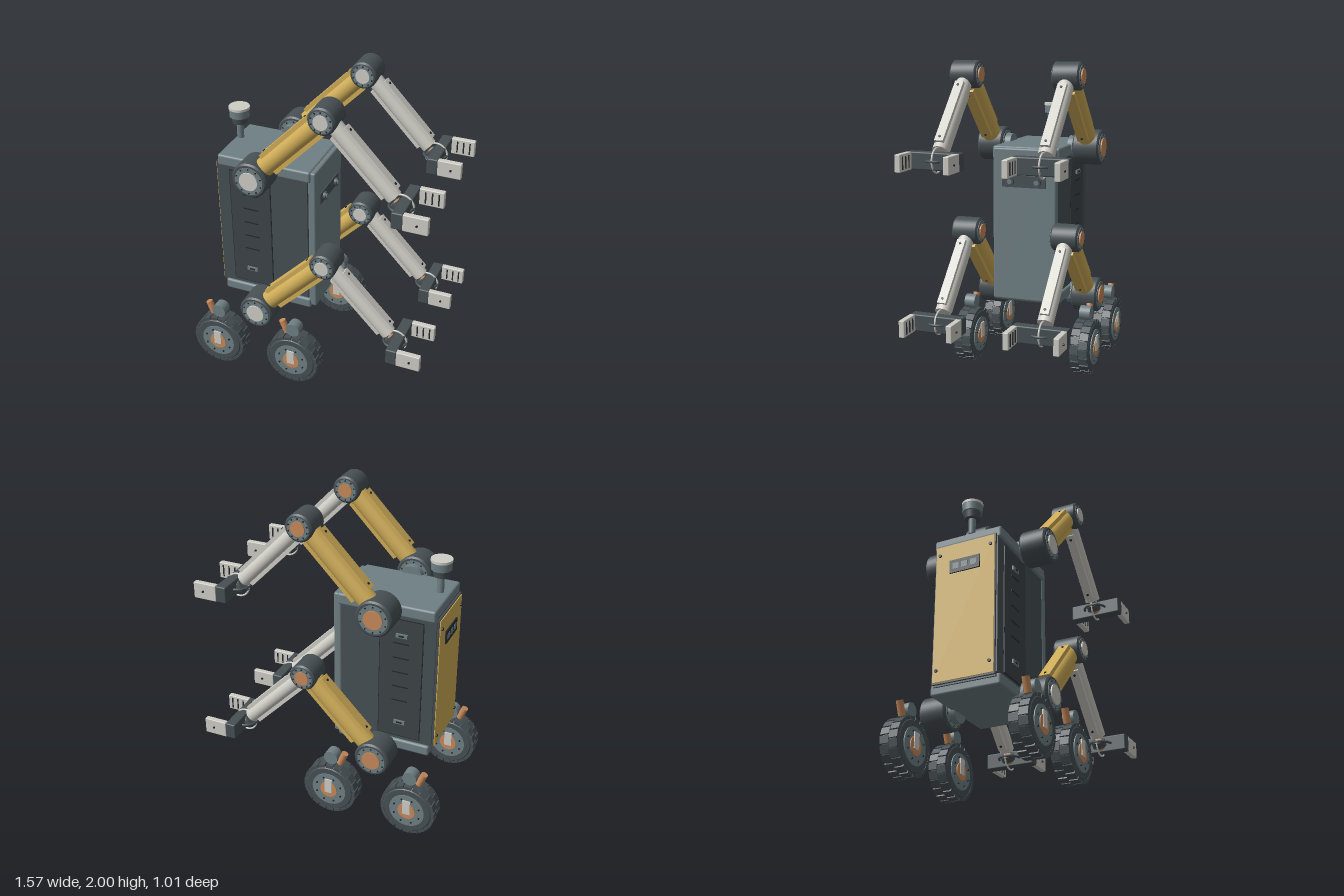
import * as THREE from 'three';
import { toCreasedNormals } from 'three/addons/utils/BufferGeometryUtils.js';
import { RoundedBoxGeometry } from 'three/addons/geometries/RoundedBoxGeometry.js';

const paint = (name, color) => {
  const m = new THREE.MeshStandardMaterial({ color });
  m.name = name;
  return m;
};
const slate = paint('slate', 0x6f7f84);
const dark = paint('charcoal', 0x475054);
const panel = paint('deepCharcoal', 0x3d4448);
const black = paint('black', 0x25292c);
const yellow = paint('ochre', 0xd0ad58);
const light = paint('offWhite', 0xcfcec6);
const copper = paint('copper', 0xc78a5a);

// Adds a named mesh to a parent
function add(parent, name, geo, mat, x = 0, y = 0, z = 0) {
  const mesh = new THREE.Mesh(geo, mat);
  mesh.name = name;
  mesh.position.set(x, y, z);
  parent.add(mesh);
  return mesh;
}
function group(parent, name, x = 0, y = 0, z = 0) {
  const g = new THREE.Group();
  g.name = name;
  g.position.set(x, y, z);
  parent.add(g);
  return g;
}
const box = (w, h, d) => new THREE.BoxGeometry(w, h, d);
const rbox = (w, h, d, r = 0.01) => new RoundedBoxGeometry(w, h, d, 2, r);
const cyl = (r, h, n = 32, r2 = r) => new THREE.CylinderGeometry(r, r2, h, n);
const cylZ = (r, h, n = 32) => cyl(r, h, n).rotateX(Math.PI / 2);
const cylX = (r, h, n = 32) => cyl(r, h, n).rotateZ(Math.PI / 2);

// Chamfered drum with its axis along z
function drum(r, w, c, n = 40) {
  const h = w / 2;
  const pts = [[0, -h], [r - c, -h], [r, -h + c], [r, h - c], [r - c, h], [0, h]];
  const geo = new THREE.LatheGeometry(pts.map(p => new THREE.Vector2(...p)), n);
  return toCreasedNormals(geo.rotateX(Math.PI / 2), 0.5);
}

function boltCircle(parent, r, z, count, size = 0.006) {
  for (let i = 0; i < count; i++) {
    const a = (i + 0.5) / count * Math.PI * 2;
    add(parent, 'bolt', cylZ(size, 0.008, 8), black, Math.cos(a) * r, Math.sin(a) * r, z);
  }
}

// Rotary joint: pale cap on +z, copper cap on -z
function joint(parent, name, r, x, y) {
  const g = group(parent, name, x, y);
  add(g, 'drum', drum(r, 0.172, 0.01), dark);
  for (const s of [-1, 1]) {
    add(g, 'faceRing', cylZ(r * 0.8, 0.006), slate, 0, 0, s * 0.086);
    boltCircle(g, r * 0.72, s * 0.089, 10, 0.005);
    add(g, 'faceCap', cylZ(r * 0.53, 0.012, 24), s > 0 ? light : copper, 0, 0, s * 0.091);
  }
}

// Limb segment along local +x with two cover plates
function limb(parent, name, from, to, r, mat, start, end) {
  const g = group(parent, name, ...from);
  const dx = to[0] - from[0], dy = to[1] - from[1];
  const length = Math.hypot(dx, dy) * 0.9;
  g.rotation.z = Math.atan2(dy, dx);
  add(g, 'tube', cylX(r, length), mat, length / 2);
  for (const s of [-1, 1]) {
    add(g, 'coverPlate', box(end - start, 0.03, r * 1.15), mat, (start + end) / 2, s * r);
    for (const x of [start + 0.03, end - 0.03])
      add(g, 'bolt', cyl(0.008, 0.008, 8), black, x, s * (r + 0.016), 0);
  }
}

function gripper(parent, x, y) {
  const g = group(parent, 'gripper', x, y);
  // gimbal wrist
  add(g, 'wristBall', new THREE.SphereGeometry(0.04, 20, 14), copper, -0.01);
  add(g, 'wristRing', new THREE.TorusGeometry(0.073, 0.006, 8, 36), light);
  add(g, 'crossRing', new THREE.TorusGeometry(0.073, 0.008, 8, 36).rotateX(Math.PI / 2), dark);
  add(g, 'wristBlock', cylX(0.045, 0.04, 16), dark, -0.03).rotation.z = -0.8;
  // palm and two fingers
  add(g, 'palm', rbox(0.07, 0.105, 0.34, 0.008), dark, 0.027);
  for (const s of [-1, 1]) {
    add(g, 'finger', rbox(0.15, 0.105, 0.036, 0.005), light, 0.135, 0, s * 0.152);
    add(g, 'fingerBolt', cylZ(0.007, 0.01, 8), black, 0.145, 0, s * 0.173);
    for (let i = 0; i < 3; i++)
      add(g, 'gripRidge', box(0.008, 0.075, 0.006), black, 0.1 + i * 0.04, 0, s * 0.133);
  }
}

function arm(parent, y, z) {
  const g = group(parent, 'arm', 0, y, z);
  const S = [-0.345, 0], E = [0.118, 0.478], W = [0.577, 0];
  limb(g, 'upperArm', S, E, 0.061, yellow, 0.145, 0.585);
  limb(g, 'forearm', E, W, 0.049, light, 0.11, 0.565);
  joint(g, 'shoulder', 0.113, ...S);
  joint(g, 'elbow', 0.085, ...E);
  gripper(g, ...W);
  add(g, 'shoulderMount', cylZ(0.07, 0.05), slate, S[0], 0, -Math.sign(z) * 0.105);
}

function wheel(parent, x, side) {
  const g = group(parent, 'wheel', x, 0.179, side * 0.398);
  // tyre with staggered tread blocks
  add(g, 'tyre', drum(0.169, 0.12, 0.018, 40), dark);
  const count = 20;
  for (let i = 0; i < count * 2; i++) {
    const row = i % 2 ? 1 : -1, a = i / count * Math.PI;
    const block = add(g, 'treadBlock', box(0.02, 0.046, 0.056), dark,
      Math.cos(a) * 0.166, Math.sin(a) * 0.166, row * 0.029);
    block.rotation.z = a;
  }
  // hub on both faces
  for (const s of [-1, 1]) {
    add(g, 'hubDisc', cylZ(0.114, 0.012), slate, 0, 0, s * 0.06);
    boltCircle(g, 0.088, s * 0.068, 8);
    add(g, 'hubCap', cylZ(0.057, 0.012, 16), copper, 0, 0, s * 0.066);
    add(g, 'hubTab', box(0.05, 0.1, 0.008), light, 0, 0.03, s * 0.073);
  }
  // steering knuckle and damper above the tyre
  add(g, 'knuckle', cylZ(0.046, 0.07, 24), slate, 0, 0.222, 0);
  add(g, 'damper', cyl(0.022, 0.09, 16), copper, -0.068, 0.218, 0).rotation.z = 0.38;
}

function body(parent) {
  const g = group(parent, 'body');
  add(g, 'core', box(0.6, 0.92, 0.40), dark, -0.36, 0.95);
  add(g, 'topCap', rbox(0.62, 0.075, 0.45, 0.014), slate, -0.345, 1.42);
  add(g, 'bottomCap', rbox(0.61, 0.07, 0.45, 0.014), slate, -0.345, 0.478);
  add(g, 'frontPlate', rbox(0.05, 0.99, 0.425, 0.012), slate, -0.03, 0.955);
  // yellow service panel at the rear
  add(g, 'rearFrame', box(0.03, 0.9, 0.4), dark, -0.658, 0.95);
  add(g, 'rearPanel', box(0.009, 0.88, 0.39), yellow, -0.674, 0.95);
  add(g, 'rearDisplay', box(0.012, 0.085, 0.2), black, -0.681, 1.235);
  for (let i = -1; i <= 1; i++)
    add(g, 'rearIndicator', box(0.004, 0.04, 0.04), slate, -0.687, 1.235, i * 0.058);
  for (const y of [0.58, 1.33]) for (const z of [-0.17, 0.17])
    add(g, 'rearBolt', cylX(0.01, 0.014, 10), black, -0.681, y, z);
  // side doors with handles and vent slots
  for (const s of [-1, 1]) {
    add(g, 'sideSkin', box(0.6, 0.87, 0.012), dark, -0.36, 0.95, s * 0.203);
    add(g, 'doorSeam', box(0.28, 0.826, 0.006), black, -0.445, 0.948, s * 0.209);
    add(g, 'door', box(0.27, 0.815, 0.008), panel, -0.445, 0.948, s * 0.211);
    for (const y of [0.645, 1.255]) {
      add(g, 'doorHandle', box(0.072, 0.026, 0.012), slate, -0.45, y, s * 0.219);
      add(g, 'handleGrip', box(0.035, 0.01, 0.004), black, -0.45, y, s * 0.226);
    }
    for (let i = 0; i < 5; i++)
      add(g, 'ventSlot', box(0.1, 0.008, 0.004), black, -0.445, 0.8 + i * 0.1, s * 0.215);
  }
  // front sensor bar with two lamps
  add(g, 'sensorBar', box(0.009, 0.075, 0.295), dark, -0.002, 1.24);
  for (const z of [-0.09, 0.09]) {
    add(g, 'lampHousing', cylX(0.026, 0.02, 20), dark, 0.01, 1.24, z);
    add(g, 'lampLens', cylX(0.016, 0.005, 16), slate, 0.021, 1.24, z);
  }
}

function mast(parent) {
  const g = group(parent, 'sensorMast', -0.602, 0, 0);
  add(g, 'post', cyl(0.022, 0.11, 20), slate, 0, 1.535);
  add(g, 'collar', cyl(0.052, 0.045, 28, 0.046), dark, 0, 1.607);
  add(g, 'head', cyl(0.063, 0.05, 32), slate, 0, 1.654);
  add(g, 'headCap', cyl(0.066, 0.016, 32), light, 0, 1.687);
}

export function createModel() {
  const model = new THREE.Group();
  model.name = 'wheeledRobot';
  body(model);
  mast(model);
  for (const z of [-0.328, 0.328]) for (const y of [0.452, 1.437]) arm(model, y, z);
  for (const side of [-1, 1]) for (const x of [-0.607, -0.079]) wheel(model, x, side);
  return model;
}
